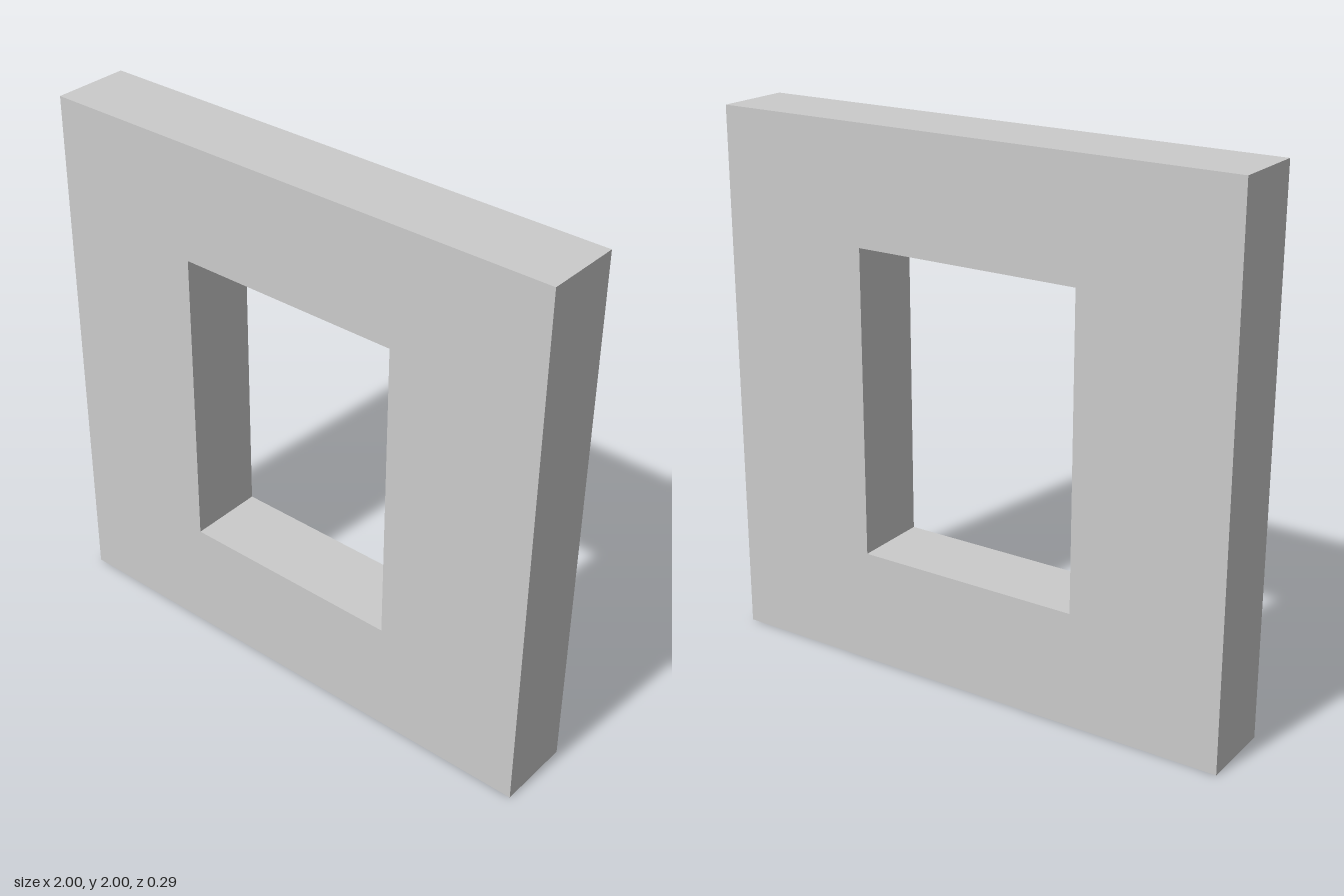
import * as THREE from 'three';

const SIZE = 2;
const DEPTH = 0.286;
const OPENING = { width: 0.857, bottom: 0.429, top: 1.571 };

// Corner points of an axis-aligned rectangle, counter-clockwise
function rectangle(x0, y0, x1, y1) {
  return [[x0, y0], [x1, y0], [x1, y1], [x0, y1]].map(([x, y]) => new THREE.Vector2(x, y));
}

export function createModel() {
  const group = new THREE.Group();
  group.name = 'windowWall';

  // Square wall panel with a rectangular window opening
  const outline = new THREE.Shape(rectangle(-SIZE / 2, 0, SIZE / 2, SIZE));
  const half = OPENING.width / 2;
  outline.holes.push(new THREE.Path(rectangle(-half, OPENING.bottom, half, OPENING.top).reverse()));

  const geometry = new THREE.ExtrudeGeometry(outline, { depth: DEPTH, bevelEnabled: false });
  geometry.translate(0, 0, -DEPTH / 2);

  const wall = new THREE.Mesh(geometry, new THREE.MeshStandardMaterial({ color: 0xcccccc, flatShading: true }));
  wall.name = 'wall';
  group.add(wall);

  return group;
}
